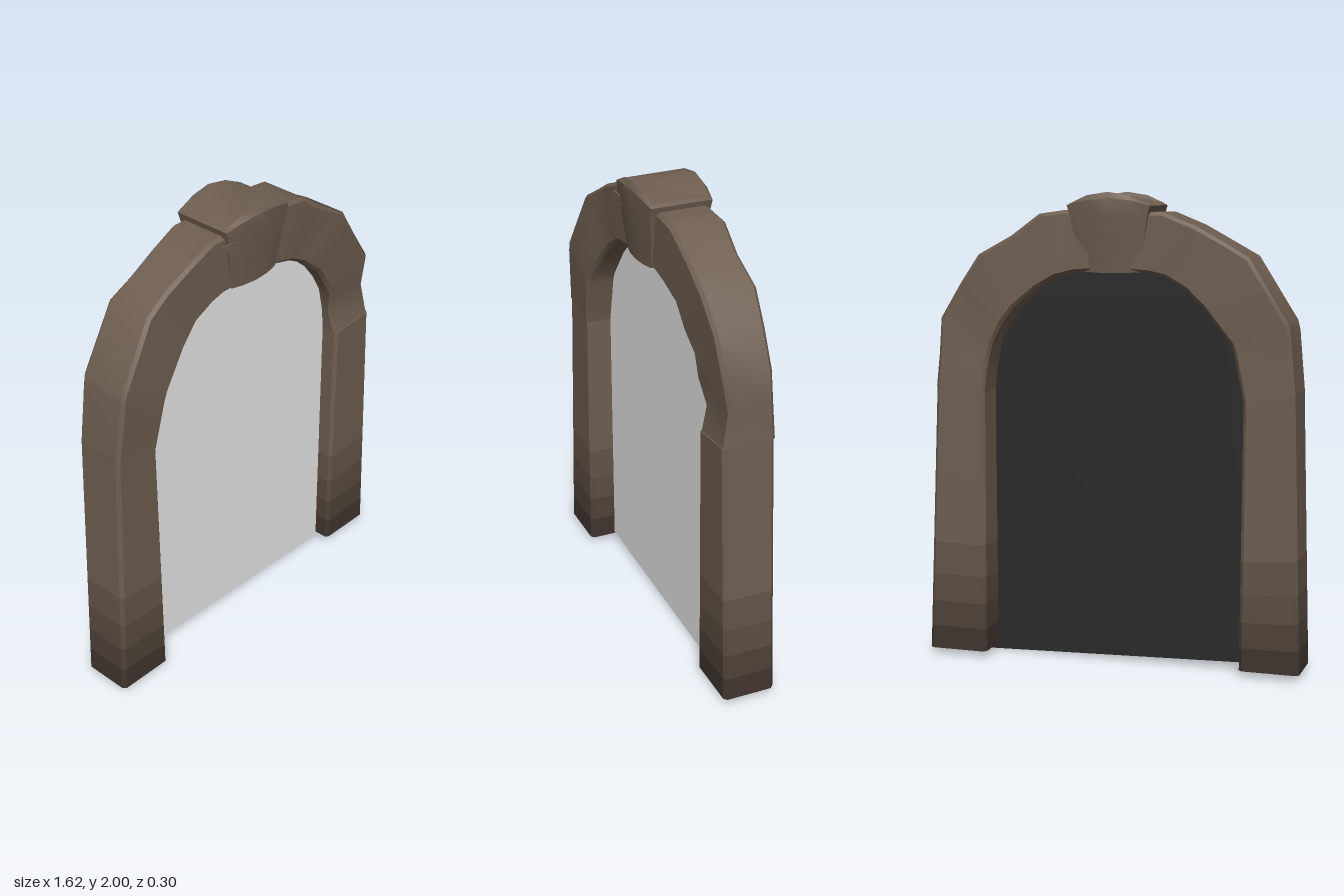
import * as THREE from 'three';
import { toCreasedNormals } from 'three/addons/utils/BufferGeometryUtils.js';

const mat = (name, color, extra = {}) => new THREE.MeshStandardMaterial({ name, color, ...extra });

// Skin a stack of closed cross-sections; tones[i] is the material index of row i
function loft(rings, tones = []) {
  const n = rings[0].length, pos = rings.flat(2), index = [];
  const geo = new THREE.BufferGeometry();
  const last = rings.length - 1;
  for (let i = 0; i < last; i++) {
    const start = index.length;
    if (i === 0) for (let k = 1; k < n - 1; k++) index.push(0, k + 1, k);
    for (let j = 0; j < n; j++) {
      const a = i * n + j, b = i * n + (j + 1) % n;
      index.push(a, b, a + n, b, b + n, a + n);
    }
    if (i === last - 1) for (let k = 1; k < n - 1; k++) index.push(last * n, last * n + k, last * n + k + 1);
    geo.addGroup(start, index.length - start, tones[i] ?? 0);
  }
  geo.setAttribute('position', new THREE.Float32BufferAttribute(pos, 3));
  geo.setIndex(index);
  return toCreasedNormals(geo, 0.6);
}

// Bevelled four-sided section between an outer and an inner edge point
function section([ox, oy, ix, iy, zf, zb]) {
  const b = 0.014, t = b / Math.hypot(ix - ox, iy - oy);
  const at = (s, z) => [ox + (ix - ox) * s, oy + (iy - oy) * s, z];
  const ring = [at(0, zf - b), at(t, zf), at(1 - t, zf), at(1, zf - b),
    at(1, zb + b), at(1 - t, zb), at(t, zb), at(0, zb + b)];
  return ox > 0 ? ring.reverse() : ring;
}

export function createModel() {
  const group = new THREE.Group();
  const stones = [
    mat('stone', 0x6e5e50), mat('stoneShaded', 0x635448), mat('stoneDim', 0x5a4c41),
    mat('stoneDark', 0x4e4238), mat('stoneFoot', 0x41352f),
  ];
  const add = (name, geo, material) => {
    const mesh = new THREE.Mesh(geo, material);
    mesh.name = name;
    group.add(mesh);
  };

  // Pillars, darkening in bands toward the ground
  const heights = [0.03, 0.13, 0.24, 0.36, 0.5, 0.8, 1.17];
  const pillar = (foot, top) => loft(heights.map((y) => {
    const t = (y - 0.03) / 1.14;
    return section(foot.map((v, i) => v + (top[i] - v) * t));
  }), [4, 3, 2, 1, 0, 0]);
  add('leftPillar', pillar([0.81, 0.03, 0.55, 0.03, 0.082, -0.142], [0.768, 1.18, 0.55, 1.16, 0.09, -0.13]), stones);
  add('rightPillar', pillar([-0.812, 0.03, -0.557, 0.03, 0.128, -0.092], [-0.78, 1.19, -0.567, 1.15, 0.118, -0.1]), stones);

  // Arch halves: outer x, y, inner x, y, front z, back z
  const rightArch = [
    [-0.78, 1.19, -0.567, 1.15, 0.122, -0.1],
    [-0.755, 1.44, -0.525, 1.35, 0.134, -0.095],
    [-0.745, 1.48, -0.51, 1.39, 0.134, -0.098],
    [-0.585, 1.74, -0.4, 1.53, 0.115, -0.108],
    [-0.48, 1.8, -0.32, 1.605, 0.104, -0.1],
    [-0.36, 1.865, -0.235, 1.655, 0.11, -0.104],
    [-0.23, 1.918, -0.17, 1.67, 0.108, -0.115],
    [-0.1, 1.92, -0.08, 1.675, 0.11, -0.112],
  ];
  const leftArch = [
    [0.768, 1.18, 0.55, 1.16, 0.085, -0.135],
    [0.755, 1.32, 0.54, 1.26, 0.06, -0.13],
    [0.748, 1.47, 0.515, 1.37, 0.085, -0.122],
    [0.66, 1.61, 0.47, 1.45, 0.08, -0.13],
    [0.57, 1.74, 0.415, 1.52, 0.095, -0.134],
    [0.425, 1.82, 0.32, 1.6, 0.09, -0.125],
    [0.3, 1.91, 0.23, 1.65, 0.102, -0.128],
    [0.2, 1.925, 0.15, 1.67, 0.104, -0.118],
    [0.1, 1.92, 0.08, 1.675, 0.104, -0.118],
  ];
  add('rightArch', loft(rightArch.map(section)), stones[0]);
  add('leftArch', loft(leftArch.map(section)), stones[0]);

  // Keystone: flared block with bowed front, back and crown
  const rows = [ // y, half width, front z, back z, crown rise
    [1.675, 0.125, 0.122, -0.118, -0.005], [1.76, 0.14, 0.13, -0.126, 0],
    [1.9, 0.165, 0.146, -0.148, 0], [1.945, 0.178, 0.148, -0.152, 0.03],
    [1.955, 0.165, 0.132, -0.138, 0.045],
  ];
  const across = [-1, -0.55, 0, 0.55, 1];
  add('keystone', loft(rows.map(([y, w, zf, zb, rise]) => {
    const edge = (s, z) => [s * w - 0.004, y + rise * (1 - s * s), z * (1 - 0.13 * s * s)];
    return [...across.map((s) => edge(s, zf)), ...across.map((s) => edge(-s, zb))];
  })), stones[0]);

  // Thin chip beside the keystone
  const chip = new THREE.BoxGeometry(0.1, 0.035, 0.008);
  chip.translate(-0.155, 1.878, 0.132);
  add('chip', chip, stones[0]);

  // Panel filling the opening, light on the front and dark on the back
  const outline = [[-0.6, 0.04], [0.615, 0.005], [0.615, 1.2], [0.58, 1.4], [0.46, 1.58],
    [0.28, 1.7], [0, 1.74], [-0.28, 1.7], [-0.46, 1.58], [-0.58, 1.4], [-0.62, 1.2]];
  const face = new THREE.ShapeGeometry(new THREE.Shape(outline.map(([x, y]) => new THREE.Vector2(x, y))));
  face.translate(0, 0, 0.012);
  const back = face.clone().translate(0, 0, -0.004);
  back.setIndex([...back.index.array].reverse());
  back.computeVertexNormals();
  add('panelFront', face, mat('panelLight', 0xe8e8e8));
  add('panelBack', back, mat('panelDark', 0x2a2a2a));
  return group;
}
